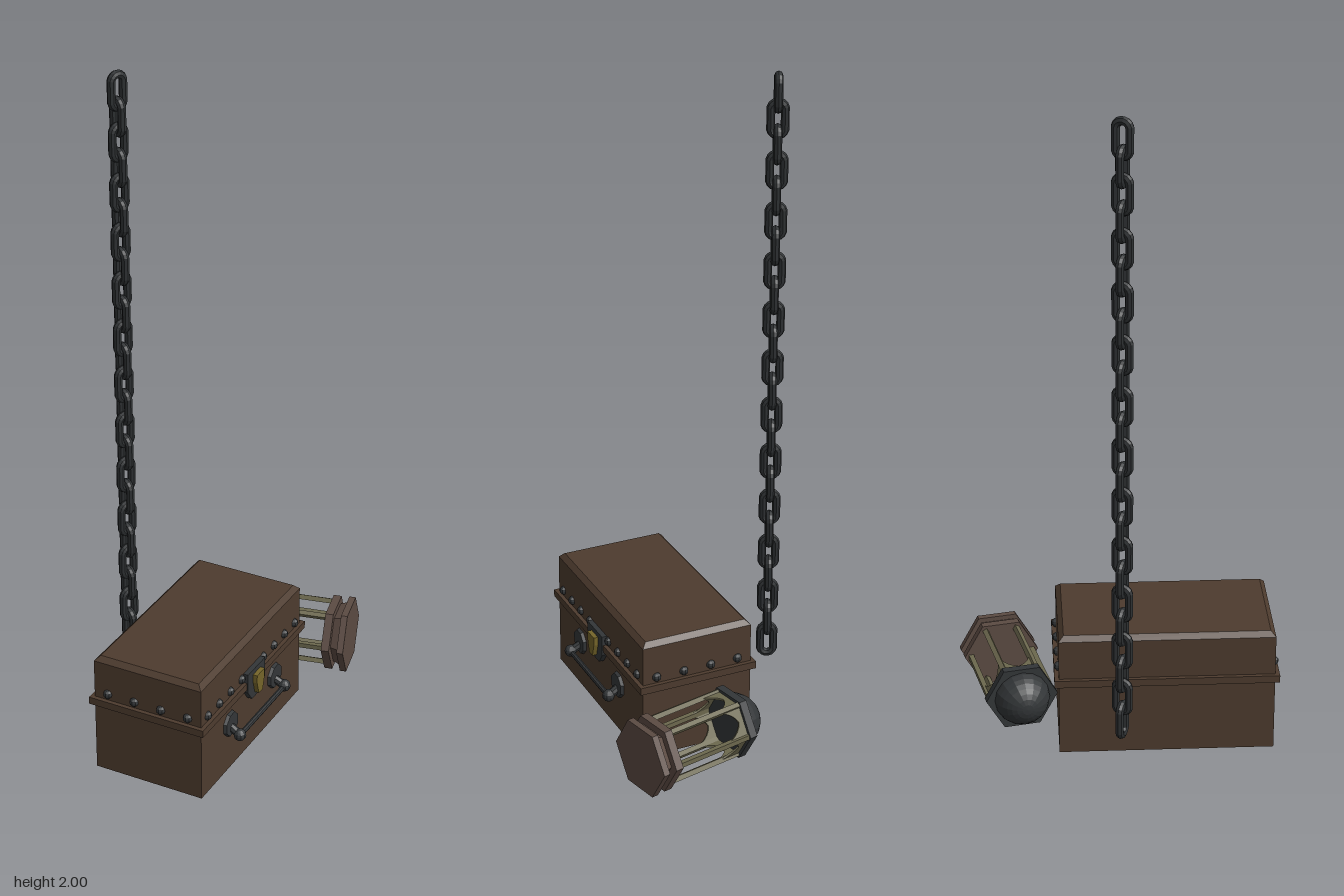
import * as THREE from 'three';

const mat = (color) => new THREE.MeshStandardMaterial({ color, flatShading: true, side: THREE.DoubleSide });
const wood = mat(0x4d3b2e), iron = mat(0x333638), gold = mat(0x75652a);
const chainIron = mat(0x2d3032), brass = mat(0x6c684e), plinth = mat(0x5c4b43);

function add(parent, name, geometry, material, x = 0, y = 0, z = 0) {
  const mesh = new THREE.Mesh(geometry, material);
  mesh.name = name;
  mesh.position.set(x, y, z);
  parent.add(mesh);
  return mesh;
}

function box(parent, name, w, y0, y1, d, material) {
  return add(parent, name, new THREE.BoxGeometry(w, y1 - y0, d), material, 0, (y0 + y1) / 2, 0);
}

// Flat outline given as [x, y] points, thickened along z
function plate(points, depth) {
  const shape = new THREE.Shape(points.map(([x, y]) => new THREE.Vector2(x, y)));
  return new THREE.ExtrudeGeometry(shape, { depth, bevelEnabled: false });
}

function rod(parent, name, a, b, radius, material, sides = 8) {
  const path = new THREE.LineCurve3(new THREE.Vector3(...a), new THREE.Vector3(...b));
  return add(parent, name, new THREE.TubeGeometry(path, 1, radius, sides), material);
}

function createChest() {
  const chest = new THREE.Group();
  chest.name = 'chest';
  const W = 0.636, D = 0.352;
  box(chest, 'chestBody', W, 0, 0.23, D, wood);
  box(chest, 'chestRim', 0.662, 0.225, 0.248, 0.377, wood);
  box(chest, 'lid', W, 0.245, 0.37, D, wood);

  // Chamfered lid top
  const cap = box(chest, 'lidTop', W, 0.37, 0.385, D, wood).geometry;
  const p = cap.attributes.position;
  for (let i = 0; i < p.count; i++) {
    if (p.getY(i) < 0) continue;
    p.setX(i, p.getX(i) - Math.sign(p.getX(i)) * 0.015);
    p.setZ(i, p.getZ(i) - Math.sign(p.getZ(i)) * 0.015);
  }
  cap.computeVertexNormals();

  // Studs along the front and both ends
  const stud = new THREE.SphereGeometry(0.014, 8, 6);
  for (let i = -4; i <= 4; i++) {
    if (i) add(chest, 'frontStud', stud, iron, i * 0.07, 0.268, D / 2);
  }
  for (const s of [-1, 1]) {
    for (let i = 0; i < 4; i++) add(chest, 'endStud', stud, iron, s * W / 2, 0.268, (i - 1.5) * 0.088);
  }

  // Latch
  add(chest, 'latchPlate', plate([[-0.055, 0.278], [-0.055, 0.215], [-0.03, 0.18], [0.03, 0.18], [0.055, 0.215], [0.055, 0.278]], 0.02), iron, 0, 0, 0.172);
  add(chest, 'latch', plate([[-0.024, 0.262], [-0.024, 0.235], [-0.012, 0.195], [0.012, 0.195], [0.024, 0.235], [0.024, 0.262]], 0.018), gold, 0, 0, 0.188);

  // Carrying handle
  for (const s of [-1, 1]) {
    const mount = add(chest, 'handleMount', new THREE.CylinderGeometry(0.038, 0.042, 0.012, 8), iron, s * 0.143, 0.158, 0.18);
    mount.rotation.set(Math.PI / 2, Math.PI / 8, 0);
    rod(chest, 'handleArm', [s * 0.143, 0.148, 0.178], [s * 0.146, 0.13, 0.212], 0.013, iron);
    add(chest, 'handleKnob', new THREE.SphereGeometry(0.019, 10, 8), iron, s * 0.146, 0.13, 0.212);
  }
  rod(chest, 'handleBar', [-0.146, 0.128, 0.212], [0.146, 0.128, 0.212], 0.008, iron);

  chest.position.set(-0.138, 0, 0.0235);
  chest.rotation.y = Math.PI / 6;
  return chest;
}

function createChain() {
  const chain = new THREE.Group();
  chain.name = 'chain';
  // One oval link: a ring whose halves are pulled apart
  const link = new THREE.TorusGeometry(0.0205, 0.0125, 8, 16);
  link.rotateZ(Math.PI / 16);
  const p = link.attributes.position;
  for (let i = 0; i < p.count; i++) p.setY(i, p.getY(i) + Math.sign(p.getY(i)) * 0.028);
  link.computeVertexNormals();
  for (let i = 0; i < 24; i++) {
    add(chain, 'chainLink', link, chainIron, 0, 1.939 - i * 0.0758, 0).rotation.y = (i % 2) * Math.PI / 2;
  }
  chain.position.set(-0.178, 0, -0.326);
  chain.rotation.y = 0.09;
  return chain;
}

function createLantern() {
  const lantern = new THREE.Group();
  lantern.name = 'lantern';
  const hex = (name, r0, r1, y0, y1, material) =>
    add(lantern, name, new THREE.CylinderGeometry(r1, r0, y1 - y0, 6, 1, false, Math.PI / 6), material, 0, (y0 + y1) / 2, 0);

  // Stepped foot
  hex('footPlate', 0.117, 0.117, 0, 0.02, plinth);
  hex('footBlock', 0.1, 0.09, 0.02, 0.045, plinth);
  hex('footTop', 0.115, 0.115, 0.045, 0.07, plinth);

  // Roof
  hex('roofPlate', 0.109, 0.109, 0.322, 0.347, iron);
  add(lantern, 'dome', new THREE.SphereGeometry(0.084, 16, 8, 0, Math.PI * 2, 0, Math.PI / 2), iron, 0, 0.34, 0);

  // Arched web under the roof, one per side
  const R = 0.095, half = R / 2;
  const web = new THREE.Shape();
  web.moveTo(-half, 0);
  web.lineTo(-half, -0.085);
  web.quadraticCurveTo(-half + 0.012, -0.03, 0, -0.018);
  web.quadraticCurveTo(half - 0.012, -0.03, half, -0.085);
  web.lineTo(half, 0);
  const webGeometry = new THREE.ExtrudeGeometry(web, { depth: 0.006, bevelEnabled: false, curveSegments: 5 });
  webGeometry.translate(0, 0, R * Math.cos(Math.PI / 6) - 0.003);

  // Corner posts and webs
  for (let i = 0; i < 6; i++) {
    const side = new THREE.Group();
    side.name = 'lanternSide';
    side.rotation.y = i * Math.PI / 3;
    add(side, 'archWeb', webGeometry, brass, 0, 0.324, 0);
    const post = add(side, 'post', new THREE.BoxGeometry(0.015, 0.256, 0.015), brass,
      R * Math.sin(Math.PI / 6), 0.197, R * Math.cos(Math.PI / 6));
    post.rotation.y = Math.PI / 6;
    lantern.add(side);
  }

  // Lying on its side, foot turned outwards
  lantern.position.set(0.429, 0.128, 0.006);
  lantern.rotation.set(-Math.PI / 2, 0.74, 0, 'YXZ');
  return lantern;
}

export function createModel() {
  const model = new THREE.Group();
  model.name = 'chestLanternAndChain';
  model.add(createChest(), createChain(), createLantern());
  return model;
}
